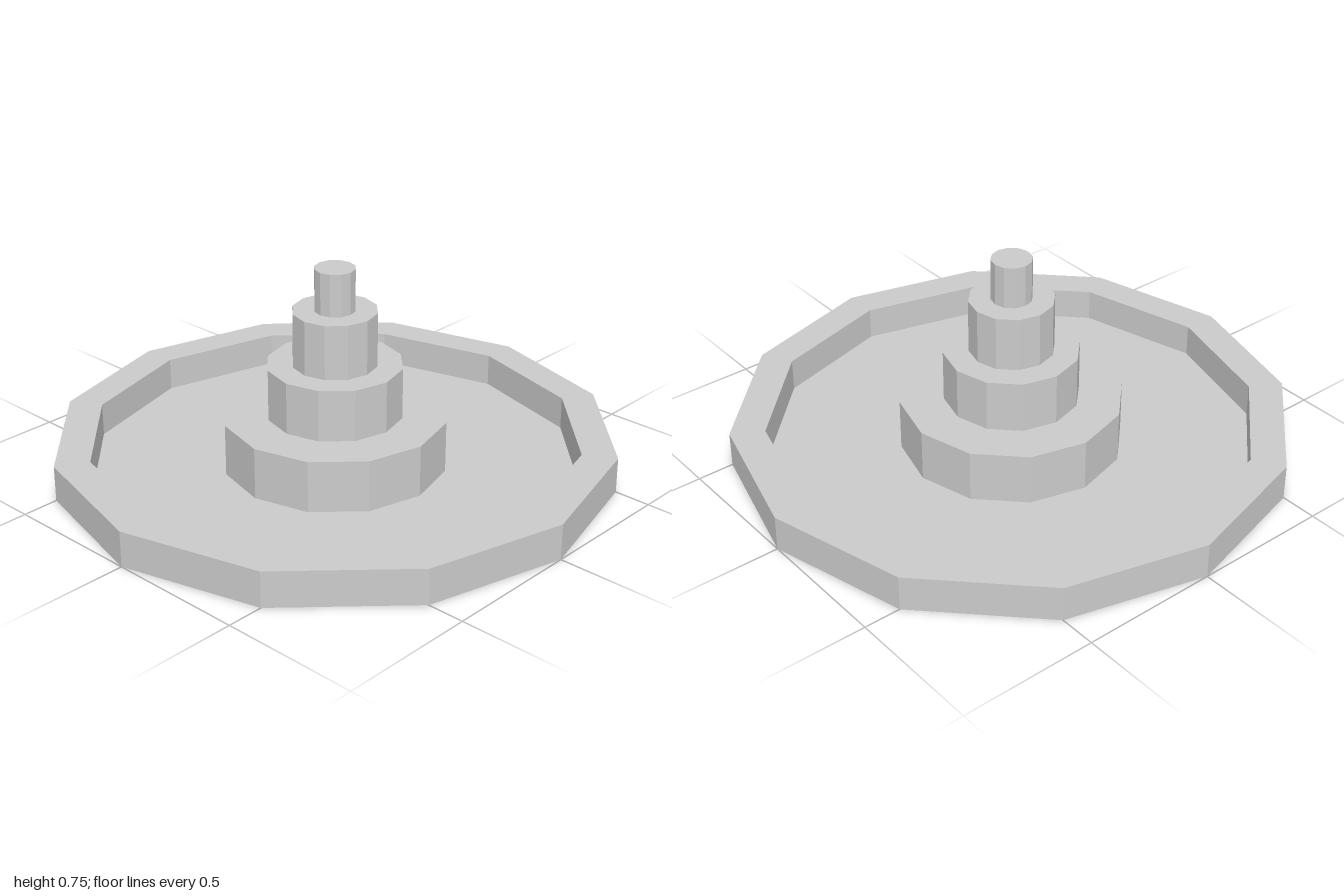
import * as THREE from 'three';

const SIDES = 12;
const FLOOR = 0.01;

export function createModel() {
  const group = new THREE.Group();
  const material = new THREE.MeshStandardMaterial({ color: 0xcccccc, flatShading: true });

  function add(name, geometry) {
    const mesh = new THREE.Mesh(geometry, material);
    mesh.name = name;
    group.add(mesh);
  }

  // Shallow basin: thin floor with a raised rim, turned as one closed profile
  const basin = [
    [0, 0], [1, 0], [1, 0.13], [0.875, 0.13], [0.875, FLOOR], [0, FLOOR],
  ].map(([r, y]) => new THREE.Vector2(r, y));
  add('basin', new THREE.LatheGeometry(basin, SIDES));

  // Stepped column: [name, radius, bottom, top]
  const tiers = [
    ['columnBase', 0.4, FLOOR, 0.2],
    ['lowerTier', 0.243, 0.2, 0.39],
    ['upperTier', 0.152, 0.39, 0.59],
    ['spout', 0.073, 0.59, 0.745],
  ];
  for (const [name, radius, bottom, top] of tiers) {
    const geometry = new THREE.CylinderGeometry(radius, radius, top - bottom, SIDES);
    add(name, geometry.translate(0, (bottom + top) / 2, 0));
  }

  return group;
}
